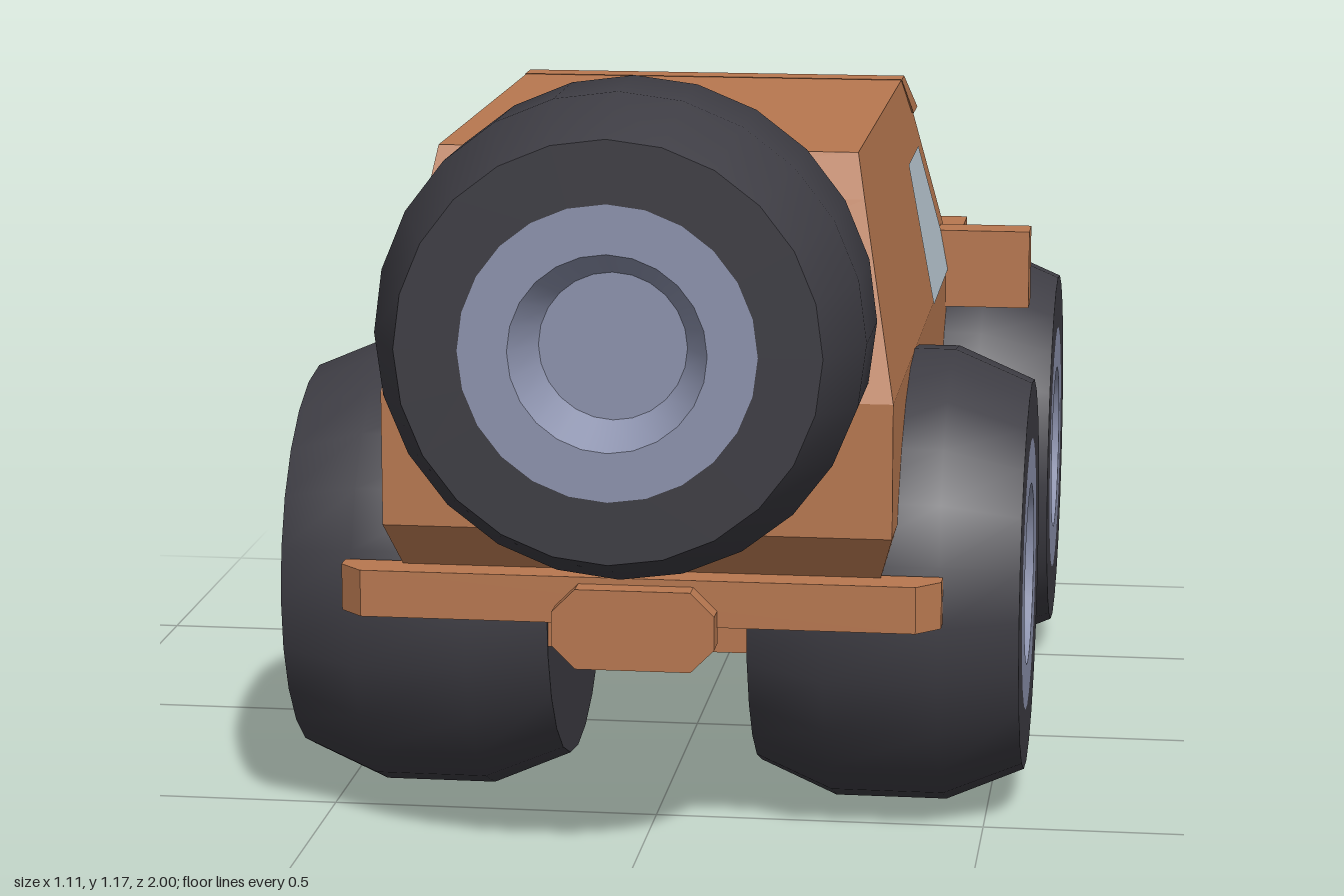
import * as THREE from 'three';

const mat = (name, color, extra = {}) => {
  const m = new THREE.MeshStandardMaterial({ color, ...extra });
  m.name = name;
  return m;
};

export function createModel() {
  const paint = mat('copper paint', 0xb87850);
  const rubber = mat('dark rubber', 0x3e3d44);
  const metal = mat('grey blue rim', 0x8d93ae);
  const glass = mat('pale glass', 0xbccbd5, { side: THREE.DoubleSide });

  const model = new THREE.Group();
  model.name = 'offRoadCar';

  const add = (name, geometry, material, parent = model) => {
    const mesh = new THREE.Mesh(geometry, material);
    mesh.name = name;
    parent.add(mesh);
    return mesh;
  };

  // Box from min and max corners
  const box = (name, x0, x1, y0, y1, z0, z1) =>
    add(name, new THREE.BoxGeometry(x1 - x0, y1 - y0, z1 - z0), paint)
      .position.set((x0 + x1) / 2, (y0 + y1) / 2, (z0 + z1) / 2);

  // Stack of rectangles, bottom to top: [y, half width, z max, z min]
  const loft = (name, rings) => {
    const pts = [];
    const index = [];
    rings.forEach(([y, w, z1, z0], r) => {
      pts.push(-w, y, z1, w, y, z1, w, y, z0, -w, y, z0);
      if (r === 0) return;
      for (let i = 0; i < 4; i++) {
        const a = (r - 1) * 4 + i, b = (r - 1) * 4 + (i + 1) % 4;
        index.push(a, b, b + 4, a, b + 4, a + 4);
      }
    });
    const t = (rings.length - 1) * 4;
    index.push(0, 2, 1, 0, 3, 2, t, t + 1, t + 2, t, t + 2, t + 3);
    const g = new THREE.BufferGeometry();
    g.setAttribute('position', new THREE.Float32BufferAttribute(pts, 3));
    g.setIndex(index);
    const flat = g.toNonIndexed();
    flat.computeVertexNormals();
    return add(name, flat, paint);
  };

  const outline = (pts) => new THREE.Shape(pts.map(([x, y]) => new THREE.Vector2(x, y)));

  // Body: tub with tapered sill, cabin and roof visor
  loft('lowerBody', [
    [0.36, 0.335, 0.62, -0.83],
    [0.5, 0.375, 0.72, -0.865],
    [0.7, 0.375, 0.72, -0.865],
  ]);
  loft('cabin', [
    [0.69, 0.375, 0.72, -0.52],
    [0.7, 0.375, 0.72, -0.52],
    [0.98, 0.322, 0.611, -0.3],
    [1.045, 0.31, 0.585, -0.25],
  ]);
  loft('roofVisor', [
    [0.98, 0.325, -0.28, -0.36],
    [1.046, 0.311, -0.2, -0.25],
  ]);

  // Chassis and steps
  box('chassis', -0.3, 0.3, 0.29, 0.37, -0.85, 0.6);
  box('runningBoards', -0.445, 0.445, 0.29, 0.36, -0.36, 0.09);
  box('bumperBracket', -0.16, 0.16, 0.365, 0.425, -0.93, 0.67);

  // Front blocks beside the grille recess, and mirrors
  for (const s of [-1, 1]) {
    const side = s > 0 ? 'left' : 'right';
    const span = (a, b) => (s > 0 ? [a, b] : [-b, -a]);
    box(side + 'FrontBlock', ...span(0.19, 0.375), 0.5, 0.7, -0.93, -0.85);
    box(side + 'Mirror', ...span(0.355, 0.515), 0.64, 0.77, -0.43, -0.367);
  }

  // Bumpers with chamfered ends, and the octagonal plates on them
  const bumper = (name, zIn, zMid, zOut) => {
    const g = new THREE.ExtrudeGeometry(outline([
      [-0.445, zIn], [0.445, zIn], [0.445, zMid], [0.41, zOut], [-0.41, zOut], [-0.445, zMid],
    ]), { depth: 0.07, bevelEnabled: false });
    g.rotateX(Math.PI / 2);
    add(name, g, paint).position.y = 0.43;
  };
  bumper('rearBumper', 0.655, 0.685, 0.72);
  bumper('frontBumper', -0.92, -0.94, -0.968);

  const octagon = (name, y0, y1, z, depth) => {
    const w = 0.12, c = 0.035;
    const g = new THREE.ExtrudeGeometry(outline([
      [-w + c, y0], [w - c, y0], [w, y0 + c], [w, y1 - c],
      [w - c, y1], [-w + c, y1], [-w, y1 - c], [-w, y0 + c],
    ]), { depth, bevelEnabled: false });
    add(name, g, paint).position.z = z;
  };
  octagon('rearPlate', 0.3, 0.42, 0.715, 0.04);
  octagon('frontPlate', 0.33, 0.445, -1, 0.04);

  // Glass faces laid on the sloping cabin panels
  const pane = (name, pts, place) => {
    const g = new THREE.ShapeGeometry(outline(pts));
    const p = g.attributes.position;
    for (let i = 0; i < p.count; i++) p.setXYZ(i, ...place(p.getX(i), p.getY(i)));
    g.computeVertexNormals();
    add(name, g, glass);
  };
  pane('windshield', [[-0.312, 0.705], [0.312, 0.705], [0.268, 0.955], [-0.268, 0.955]],
    (x, y) => [x, y, -0.525 + (y - 0.7) * 0.786]);
  for (const s of [-1, 1]) {
    // Mirrored order keeps the face pointing outward on both sides
    const pts = [[-0.045, 0.703], [-0.42, 0.703], [-0.25, 0.93], [-0.045, 0.93]];
    pane(s > 0 ? 'leftWindow' : 'rightWindow', pts.map(([z, y]) => [-s * z, y]),
      (u, y) => [s * (0.379 - (y - 0.7) * 0.189), y, -s * u]);
  }

  // Wheel turned about y, outer face up
  const lathe = (pts) => new THREE.LatheGeometry(pts.map(([r, h]) => new THREE.Vector2(r, h)), 24);
  const H = 0.2025;
  const parts = [
    ['tread', lathe([[0.3, -H], [0.35, -0.085], [0.35, 0.085], [0.3, H]]), rubber],
    ['innerSidewall', lathe([[0, -H], [0.3, -H]]), rubber],
    ['outerSidewall', lathe([[0.3, H], [0.21, H]]), rubber],
    ['rim', lathe([[0.21, H], [0.14, H]]), metal],
    ['rimRecess', lathe([[0.14, H], [0.105, H - 0.06]]), metal],
    ['hub', lathe([[0.105, H - 0.06], [0, H - 0.06]]), metal],
  ];
  const wheel = (name, x, y, z) => {
    const g = new THREE.Group();
    g.name = name;
    parts.forEach(([n, geo, m]) => add(n, geo, m, g));
    g.position.set(x, y, z);
    if (x === 0) g.rotation.x = Math.PI / 2;
    else g.rotation.z = -Math.sign(x) * Math.PI / 2;
    model.add(g);
  };
  for (const s of [-1, 1]) {
    const side = s > 0 ? 'left' : 'right';
    wheel(side + 'RearWheel', s * 0.3525, 0.352, 0.31);
    wheel(side + 'FrontWheel', s * 0.3525, 0.352, -0.595);
  }
  wheel('spareWheel', 0, 0.82, 0.7975);

  return model;
}
